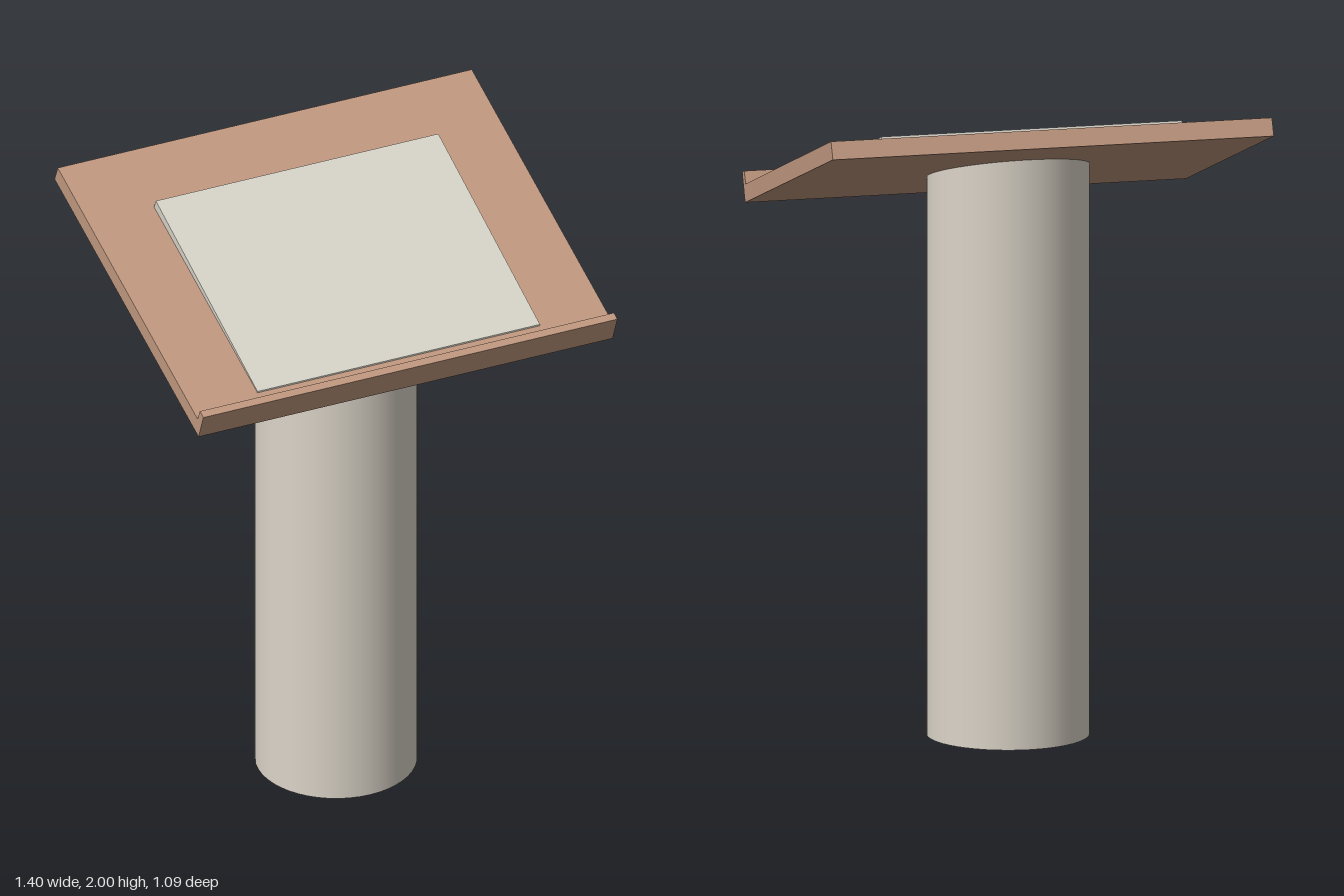
import * as THREE from 'three';

const wood = new THREE.MeshStandardMaterial({ color: 0xc0987f });
wood.name = 'wood';
const stone = new THREE.MeshStandardMaterial({ color: 0xdbd4c8 });
stone.name = 'stone';
const paper = new THREE.MeshStandardMaterial({ color: 0xd7d3c8 });
paper.name = 'paper';

// Extrude a (z, y) side profile across x, centred on x = 0
function sideExtrude(name, profile, width, material) {
  const shape = new THREE.Shape(profile.map(([z, y]) => new THREE.Vector2(z, y)));
  const geometry = new THREE.ExtrudeGeometry(shape, { depth: width, bevelEnabled: false });
  geometry.translate(0, 0, -width / 2);
  geometry.rotateY(-Math.PI / 2);
  const mesh = new THREE.Mesh(geometry, material);
  mesh.name = name;
  return mesh;
}

export function createModel() {
  const group = new THREE.Group();
  group.name = 'lectern';

  // Round column, its top cut to the slope of the board
  const columnGeometry = new THREE.CylinderGeometry(0.25, 0.25, 1.75, 48);
  columnGeometry.translate(0, 0.875, 0);
  const p = columnGeometry.attributes.position;
  for (let i = 0; i < p.count; i++) {
    if (p.getY(i) > 1) p.setY(i, 1.775 - 0.327 * p.getZ(i));
  }
  const column = new THREE.Mesh(columnGeometry, stone);
  column.name = 'column';
  group.add(column);

  // Tilted board with a small ledge along the front edge
  group.add(sideExtrude('board', [
    [0.51, 1.6], [0.545, 1.688], [0.52, 1.697], [0.503, 1.66], [-0.522, 2.0], [-0.545, 1.947],
  ], 1.4, wood));

  // Reading panel, thicker towards the back
  group.add(sideExtrude('readingPanel', [
    [0.46, 1.67], [0.46, 1.679], [-0.285, 1.955], [-0.3, 1.922],
  ], 0.955, paper));

  return group;
}
